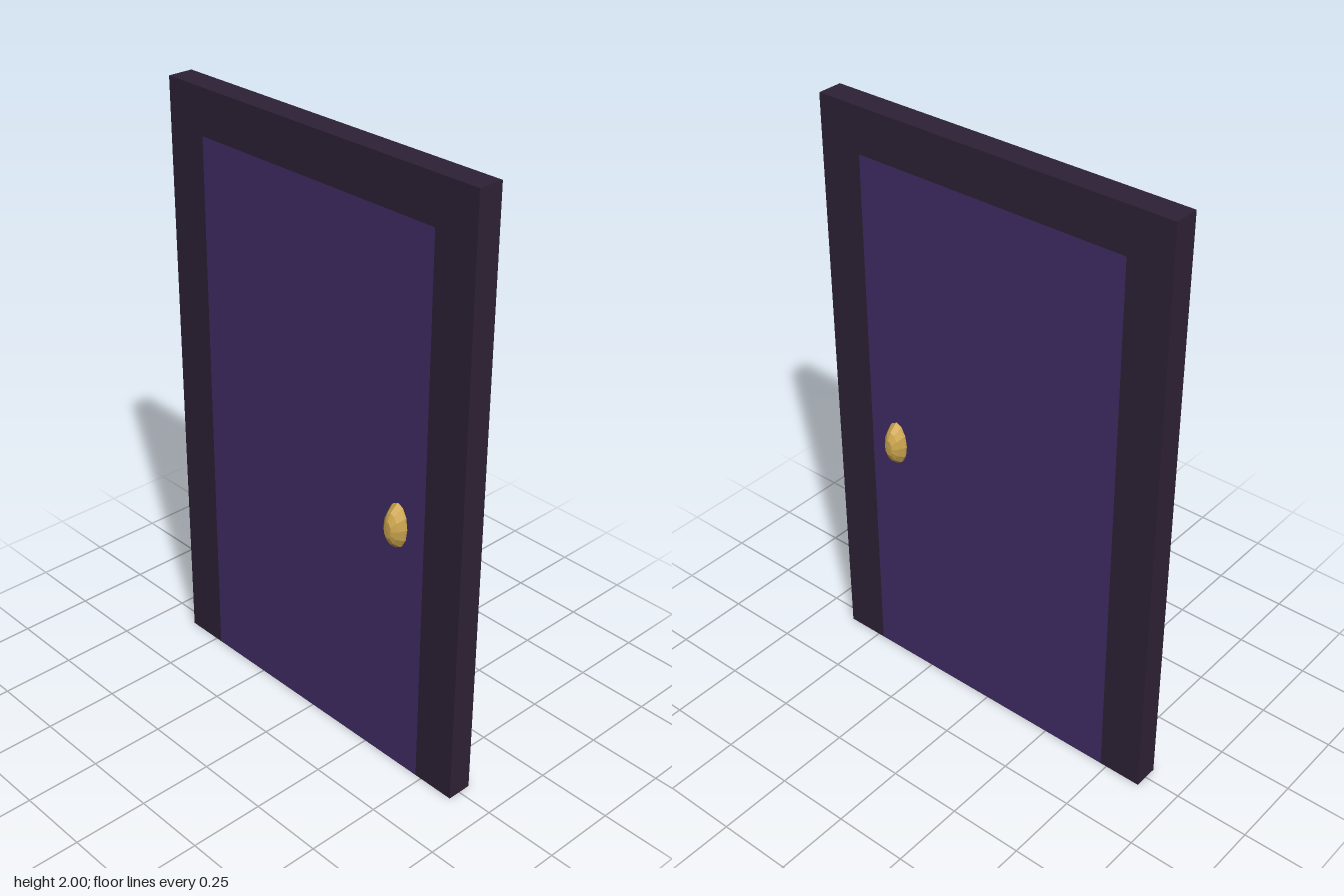
import * as THREE from 'three';

const W = 0.625, H = 2, DEPTH = 0.085;       // half width, height, thickness
const PANEL_W = 0.477, PANEL_H = 1.85;       // half width and height of the opening

export function createModel() {
  const group = new THREE.Group();
  const material = (name, color, flat = false) => {
    const m = new THREE.MeshStandardMaterial({ color, flatShading: flat });
    m.name = name;
    return m;
  };
  const frameMat = material('dark frame', 0x2e2236);
  const panelMat = material('purple panel', 0x422e68);
  const brassMat = material('brass', 0xcda64e, true);

  const add = (name, geometry, mat) => {
    const mesh = new THREE.Mesh(geometry, mat);
    mesh.name = name;
    group.add(mesh);
    return mesh;
  };

  // Frame: two jambs and a lintel in one outline, open at the floor
  const outline = new THREE.Shape([
    [-W, 0], [-PANEL_W, 0], [-PANEL_W, PANEL_H], [PANEL_W, PANEL_H],
    [PANEL_W, 0], [W, 0], [W, H], [-W, H],
  ].map(([x, y]) => new THREE.Vector2(x, y)));
  const frame = new THREE.ExtrudeGeometry(outline, { depth: DEPTH, bevelEnabled: false });
  frame.translate(0, 0, -DEPTH / 2);
  add('doorFrame', frame, frameMat);

  // Door leaf, flush with the frame on both sides
  const panel = new THREE.BoxGeometry(PANEL_W * 2, PANEL_H, DEPTH);
  panel.translate(0, PANEL_H / 2, 0);
  add('doorPanel', panel, panelMat);

  // Faceted oval knob on each side: a squashed lathe with a flat cap
  const profile = [[1, 0.04], [0.97, 0.05], [0.7, 0.073], [0.36, 0.086], [0, 0.087]]
    .map(([r, y]) => new THREE.Vector2(r, y));
  for (const side of [1, -1]) {
    const knob = new THREE.LatheGeometry(profile, 12);
    knob.rotateX(side * Math.PI / 2);
    knob.scale(0.04, 0.077, 1);
    knob.translate(0.37, 0.883, 0);
    add(side > 0 ? 'frontKnob' : 'backKnob', knob, brassMat);
  }
  return group;
}
